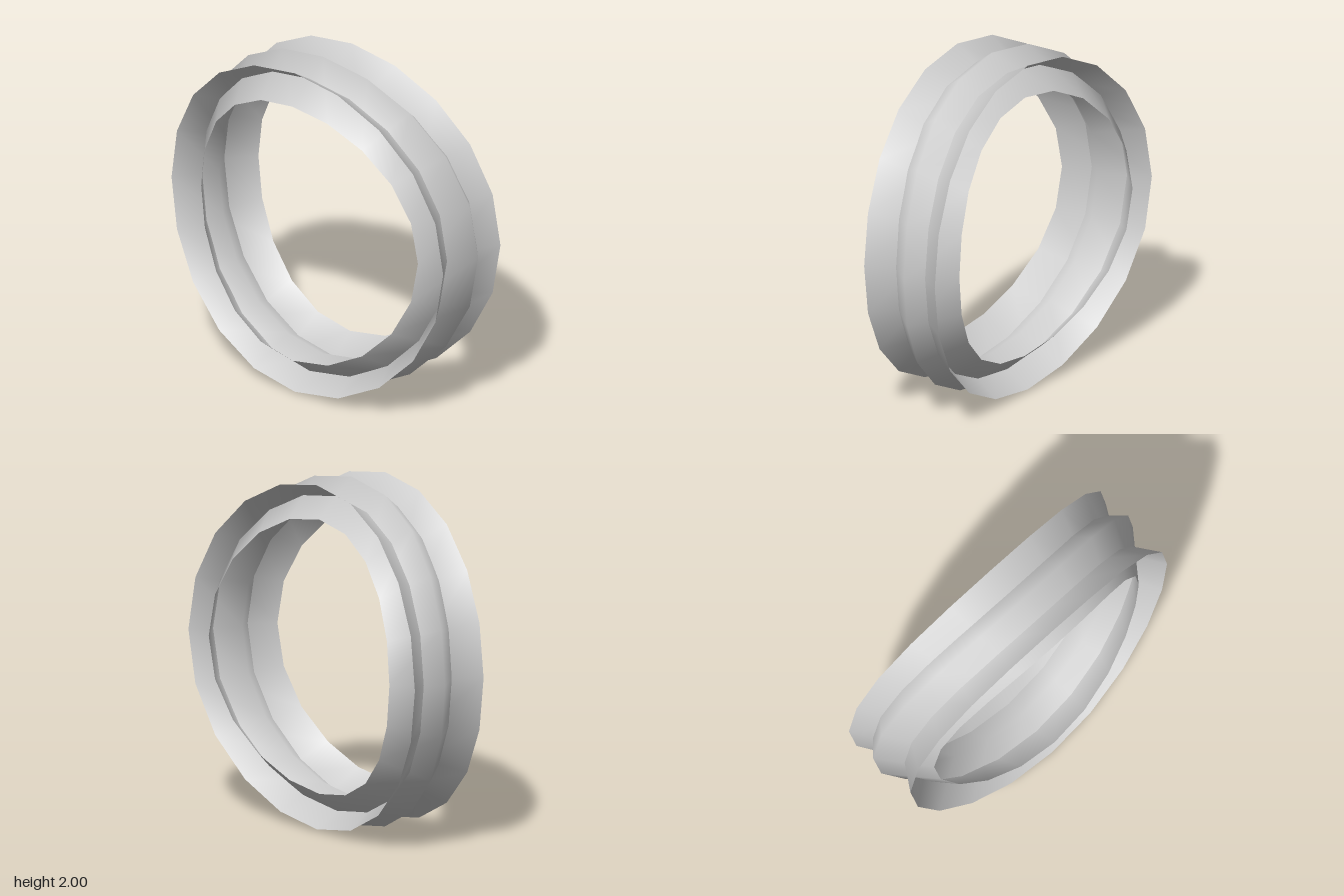
import * as THREE from 'three';

const SIDES = 20;

// Each ring of a band: r = radius, z = mean depth, bend = saddle amplitude
function saddleBand(name, rings) {
  const positions = [];
  const indices = [];
  for (const { r, z, bend } of rings) {
    for (let i = 0; i < SIDES; i++) {
      const a = (i / SIDES) * Math.PI * 2;
      positions.push(r * Math.cos(a), 1 + r * Math.sin(a), z - bend * Math.cos(2 * a));
    }
  }
  for (let k = 0; k < rings.length - 1; k++) {
    for (let i = 0; i < SIDES; i++) {
      const j = (i + 1) % SIDES;
      const a = k * SIDES + i, b = k * SIDES + j;
      const c = a + SIDES, d = b + SIDES;
      indices.push(a, c, b, b, c, d);
    }
  }
  const geometry = new THREE.BufferGeometry();
  geometry.setAttribute('position', new THREE.Float32BufferAttribute(positions, 3));
  geometry.setIndex(indices);
  geometry.computeVertexNormals();
  const mesh = new THREE.Mesh(
    geometry,
    new THREE.MeshStandardMaterial({ color: 0xcccccc, side: THREE.DoubleSide })
  );
  mesh.name = name;
  return mesh;
}

export function createModel() {
  const group = new THREE.Group();
  group.name = 'saddleRing';

  // Band flaring outward at both rims, with its waist on the inside
  group.add(saddleBand('flaredBand', [
    { r: 0.988, z: -0.25, bend: 0.055 },
    { r: 0.837, z: 0.014, bend: 0.052 },
    { r: 0.988, z: 0.25, bend: 0.055 },
  ]));

  // Band ridged on the outside, narrowing to both rims, crossing the first
  group.add(saddleBand('ridgedBand', [
    { r: 0.788, z: -0.25, bend: 0.074 },
    { r: 1.0, z: -0.019, bend: 0.077 },
    { r: 0.788, z: 0.25, bend: 0.074 },
  ]));

  return group;
}
